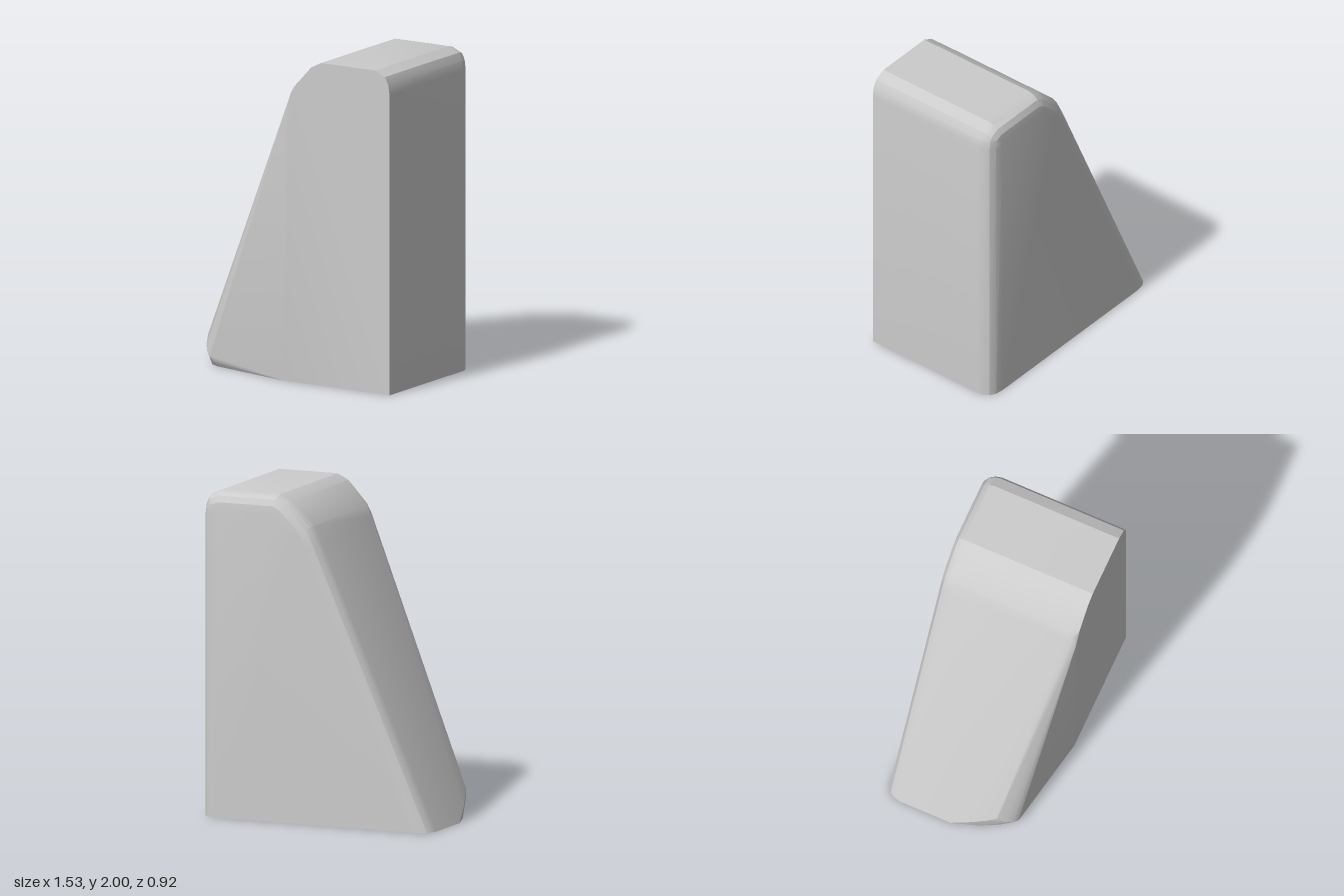
import * as THREE from 'three';
import { toCreasedNormals } from 'three/addons/utils/BufferGeometryUtils.js';
import { ConvexGeometry } from 'three/addons/geometries/ConvexGeometry.js';

// Side profile, from the foot of the slope over the rounded top to the upright side
const PROFILE = [
  [-0.763, 0], [0, 1.72], [0.05, 1.82], [0.2, 1.965], [0.27, 2],
  [0.66, 2], [0.73, 1.968], [0.755, 1.92], [0.763, 1.86], [0.763, 0],
].map(([x, y]) => new THREE.Vector2(x, y));

// Moves the profile inward by d, leaving its foot on the ground
function insetProfile(d, z) {
  const last = PROFILE.length - 1;
  return PROFILE.map((p, i) => {
    if (i === 0 || i === last) return new THREE.Vector3(p.x + (i ? -d : d), 0, z);
    const a = p.clone().sub(PROFILE[i - 1]).normalize();
    const b = PROFILE[i + 1].clone().sub(p).normalize();
    const t = a.add(b).normalize();
    return new THREE.Vector3(p.x + t.y * d, p.y - t.x * d, z);
  });
}

export function createModel() {
  const group = new THREE.Group();
  group.name = 'wedgeBlock';
  const points = [];

  // Rounded rim around the back face
  for (const [d, z] of [[0, -0.36], [0.01, -0.4], [0.028, -0.43], [0.065, -0.452], [0.12, -0.459]])
    points.push(...insetProfile(d, z));

  // Flat front face, sharp along the top and the upright side
  for (const p of PROFILE) if (p.x > 0.1) points.push(new THREE.Vector3(p.x, p.y, 0.459));

  // Tapered front panel, rounded slope edge and rounded lower corner
  const corner = [
    [0, 0, 0.459], [0.02, 1.7, 0.459], [0.075, 1.83, 0.459],
    [0.02, 1.76, 0.4], [0.05, 1.82, 0.4], [0.04, 1.785, 0.44],
    [-0.763, 0, -0.02], [-0.73, 0.075, 0.11], [-0.7, 0.13, 0.2],
    [-0.68, 0.17, 0.25], [-0.66, 0.115, 0.3], [-0.632, 0.085, 0.335], [-0.6, 0.06, 0.358],
    [-0.57, 0.03, 0.355], [-0.71, 0, 0.14], [-0.655, 0, 0.25], [-0.61, 0, 0.31], [-0.56, 0, 0.338],
  ];
  points.push(...corner.map((c) => new THREE.Vector3(...c)));

  const geometry = toCreasedNormals(new ConvexGeometry(points), 0.4);
  const body = new THREE.Mesh(geometry, new THREE.MeshStandardMaterial({ color: 0xcccccc }));
  body.name = 'body';
  group.add(body);
  return group;
}
